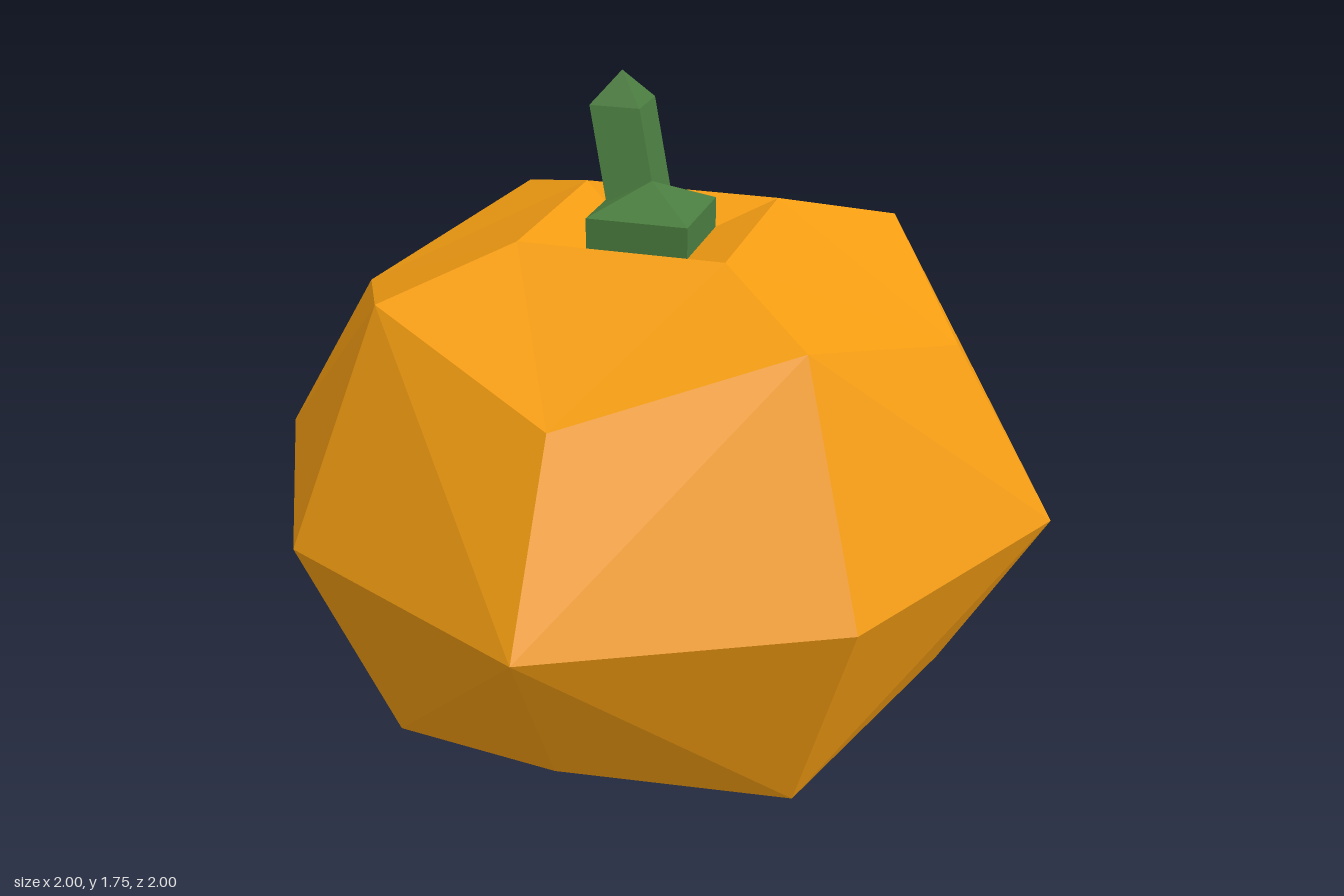
import * as THREE from 'three';

const orange = new THREE.MeshStandardMaterial({ color: 0xf39c12, flatShading: true });
const green = new THREE.MeshStandardMaterial({ color: 0x4a7c3f, flatShading: true });

// Faceted body: one quarter of the upper or lower half, turned four times
function bodyGeometry() {
  const half = 0.7;
  const positions = [];
  const buildHalf = (dir, dent) => {
    const quarter = {
      rimA: [1, 0, 0], rimD: [0.75, 0, 0.75], rimB: [0, 0, 1],
      a: [0.75, 0.6, 0], d: [0.5625, 0.45, 0.5625], b: [0, 0.6, 0.75],
      ta: [0.375, 0.7, 0], tb: [0, 0.7, 0.375], hub: [0, 0.7 - dent, 0],
    };
    const triangles = [
      'rimA rimD a', 'rimD d a', 'rimD rimB b', 'rimD b d', // flank
      'a d ta', 'd tb ta', 'd b tb', // shoulder
      'ta tb hub', // dent
    ];
    for (let q = 0; q < 4; q++) {
      const c = [1, 0, -1, 0][q], s = [0, 1, 0, -1][q];
      for (const t of triangles) {
        const names = t.split(' ');
        if (dir > 0) names.reverse();
        for (const n of names) {
          const [x, y, z] = quarter[n];
          positions.push(x * c + z * s, half + dir * y, z * c - x * s);
        }
      }
    }
  };
  buildHalf(1, 0.1);
  buildHalf(-1, 0.06);
  const geo = new THREE.BufferGeometry();
  geo.setAttribute('position', new THREE.Float32BufferAttribute(positions, 3));
  geo.computeVertexNormals();
  return geo;
}

// Four-sided post with a pyramid on top; lean shifts z with height
function pointedPost(name, radius, y0, y1, tip, lean) {
  const group = new THREE.Group();
  group.name = name;
  const h = y1 - y0;
  const post = new THREE.CylinderGeometry(radius, radius, h, 4, 1, true);
  post.translate(0, h / 2, 0);
  post.applyMatrix4(new THREE.Matrix4().set(
    1, 0, 0, 0,
    0, 1, 0, 0,
    0, lean, 1, 0,
    0, 0, 0, 1));
  const cap = new THREE.ConeGeometry(radius, tip - y1, 4, 1, true);
  cap.translate(0, h + (tip - y1) / 2, lean * h);
  const postMesh = new THREE.Mesh(post, green);
  postMesh.name = name + 'Sides';
  const capMesh = new THREE.Mesh(cap, green);
  capMesh.name = name + 'Point';
  group.add(postMesh, capMesh);
  group.position.y = y0;
  return group;
}

export function createModel() {
  const model = new THREE.Group();
  model.name = 'pumpkin';

  const body = new THREE.Mesh(bodyGeometry(), orange);
  body.name = 'body';
  model.add(body);

  // Stem: a diamond foot in the dent and a leaning stalk
  const stem = new THREE.Group();
  stem.name = 'stem';
  stem.add(pointedPost('stemFoot', 0.187, 1.35, 1.43, 1.5, 0));
  const stalk = pointedPost('stalk', 0.094, 1.36, 1.67, 1.75, -0.39);
  stalk.position.z = -0.04;
  stem.add(stalk);
  model.add(stem);

  return model;
}
